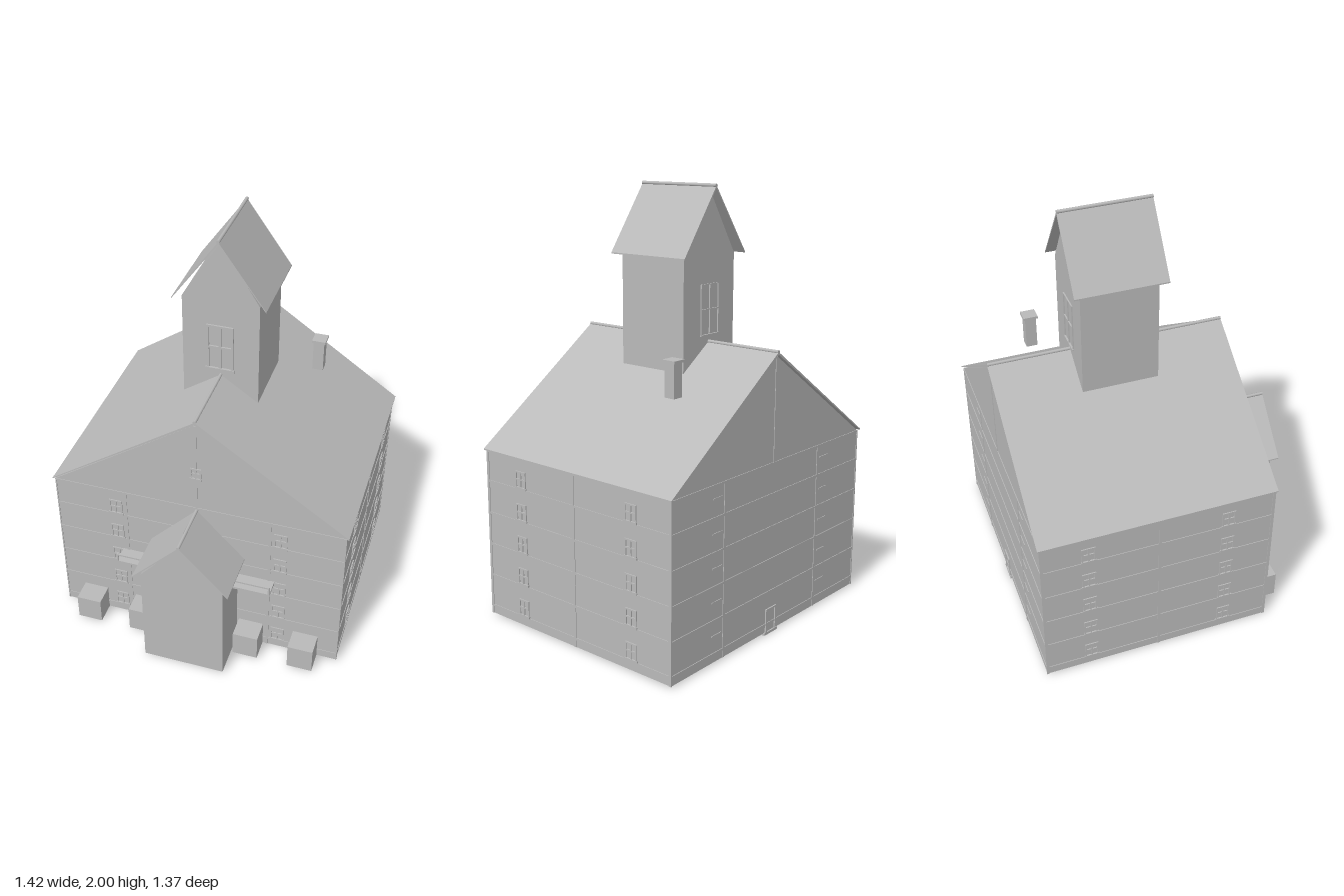
import * as THREE from 'three';

const stone = new THREE.MeshStandardMaterial({ color: 0xbababa });
stone.name = 'plain grey';

// Box given by its lower and upper limits on each axis
function box(parent, name, x0, x1, y0, y1, z0, z1) {
  const m = new THREE.Mesh(new THREE.BoxGeometry(x1 - x0, y1 - y0, z1 - z0), stone);
  m.name = name;
  m.position.set((x0 + x1) / 2, (y0 + y1) / 2, (z0 + z1) / 2);
  parent.add(m);
  return m;
}

// Outline in x and y, extruded from z0 to z1
function prism(parent, name, points, z0, z1) {
  const shape = new THREE.Shape(points.map(([x, y]) => new THREE.Vector2(x, y)));
  const m = new THREE.Mesh(new THREE.ExtrudeGeometry(shape, { depth: z1 - z0, bevelEnabled: false }), stone);
  m.name = name;
  m.position.z = z0;
  parent.add(m);
}

// Walls with a gable, a thin pitched roof and a round ridge cap
function gabledBlock(name, w, y0, eave, peak, z0, z1, roof) {
  const g = new THREE.Group();
  g.name = name;
  prism(g, name + 'Walls', [[-w, y0], [w, y0], [w, eave], [0, peak], [-w, eave]], z0, z1);
  const { half, low, top, thick, back, front } = roof;
  prism(g, name + 'Roof', [[-half, low], [0, top - thick], [half, low], [half, low + 0.006], [0, top], [-half, low + 0.006]], back, front);
  const ridge = new THREE.Mesh(new THREE.CylinderGeometry(0.008, 0.008, front - back, 8), stone);
  ridge.name = name + 'Ridge';
  ridge.rotation.x = Math.PI / 2;
  ridge.position.set(0, top, (front + back) / 2);
  g.add(ridge);
  return g;
}

// Framed window with glazing bars, facing +z, sill at the origin
function makeWindow(w, h, bar, depth) {
  const g = new THREE.Group();
  g.name = 'window';
  for (const x of [-w / 2, -bar / 2, w / 2 - bar]) box(g, 'upright', x, x + bar, 0, h, 0, depth);
  for (const y of [h * 0.5 - bar / 2, h - bar]) box(g, 'crossBar', -w / 2, w / 2, y, y + bar, 0, depth);
  box(g, 'sill', -w / 2 - bar / 2, w / 2 + bar / 2, -bar, bar * 0.4, 0, depth * 1.4);
  return g;
}

function addWindow(parent, x, y, z, turn, w = 0.064, h = 0.076, bar = 0.007, depth = 0.005) {
  const win = makeWindow(w, h, bar, depth);
  win.position.set(x, y, z);
  win.rotation.y = turn;
  parent.add(win);
}

export function createModel() {
  const model = new THREE.Group();
  model.name = 'gabledBuilding';
  const W = 0.697, F = 0.422, B = -0.677, MID = (F + B) / 2;

  // Main block, tower and porch
  model.add(gabledBlock('mainBlock', W, 0.01, 0.81, 1.285, B, F,
    { half: 0.71, low: 0.81, top: 1.302, thick: 0.012, back: -0.688, front: 0.43 }));
  model.add(gabledBlock('tower', 0.178, 1.18, 1.688, 1.972, -0.305, 0.053,
    { half: 0.215, low: 1.685, top: 1.992, thick: 0.012, back: -0.34, front: 0.087 }));
  model.add(gabledBlock('porch', 0.197, 0.01, 0.548, 0.78, F - 0.01, 0.658,
    { half: 0.23, low: 0.545, top: 0.793, thick: 0.012, back: F - 0.01, front: 0.685 }));

  // Floor bands, corner strips and pilasters
  const trim = new THREE.Group();
  trim.name = 'wallTrim';
  model.add(trim);
  const t = 0.003;
  for (const y of [0.045, 0.198, 0.352, 0.505, 0.658, 0.8])
    box(trim, 'floorBand', -W - t, W + t, y, y + 0.01, B - t, F + t);
  for (const s of [-1, 1]) {
    for (const z of [B, MID, F]) {
      const c = Math.min(Math.max(z, B + 0.004), F - 0.004);
      box(trim, 'sideStrip', s * W - t, s * W + t, 0.01, 0.805, c - 0.007, c + 0.007);
    }
    for (const z of [B, F])
      box(trim, 'pilaster', s * 0.35 - 0.006, s * 0.35 + 0.006, 0.01, 0.81, z - t, z + t);
  }
  for (const z of [B, F]) {
    box(trim, 'gableStripLower', -0.005, 0.005, 0.81, 0.975, z - t, z + t);
    box(trim, 'gableStripUpper', -0.005, 0.005, 1.04, 1.28, z - t, z + t);
  }
  box(trim, 'gableStripBack', -0.005, 0.005, 0.975, 1.04, B - t, B + t);

  // Rows of windows on the front and the sides
  for (let i = 0; i < 5; i++) {
    const y = 0.06 + i * 0.1535;
    for (const s of [-1, 1]) {
      addWindow(model, s * 0.4, y, F, 0);
      for (const z of [0.2, -0.46]) addWindow(model, s * W, y, z, s * Math.PI / 2);
      // Shallow lintels on the back
      box(trim, 'backLintel', s * 0.4 - 0.033, s * 0.4 + 0.033, y + 0.07, y + 0.076, B - t, B);
    }
  }
  addWindow(model, 0, 0.983, F, 0, 0.05, 0.058);

  // Tower windows
  addWindow(model, -0.002, 1.335, 0.053, 0, 0.125, 0.228, 0.011, 0.008);
  addWindow(model, -0.002, 1.335, -0.305, Math.PI, 0.125, 0.228, 0.004, 0.006);

  // Back door frame and step
  for (const s of [-1, 1]) box(trim, 'backDoorPost', s * 0.035 - 0.004, s * 0.035 + 0.004, 0.01, 0.115, B - 0.006, B);
  box(trim, 'backDoorHead', -0.039, 0.039, 0.115, 0.123, B - 0.006, B);
  box(trim, 'backStep', -0.05, 0.05, 0, 0.012, B - 0.006, B + 0.01);

  // Ground boxes and balconies beside the porch
  for (const s of [-1, 1]) {
    for (const c of [0.268, 0.54])
      box(model, 'groundBox', s * c - 0.061, s * c + 0.061, 0.01, 0.14, F - 0.01, 0.527);
    const balcony = new THREE.Group();
    balcony.name = 'balcony';
    const span = (a, b) => (s > 0 ? [a, b] : [-b, -a]);
    box(balcony, 'floor', ...span(0.19, 0.377), 0.435, 0.446, F - 0.01, 0.51);
    box(balcony, 'frontRail', ...span(0.19, 0.377), 0.479, 0.487, 0.502, 0.51);
    box(balcony, 'post', ...span(0.369, 0.377), 0.44, 0.487, 0.502, 0.51);
    model.add(balcony);
  }

  // Chimney
  box(model, 'chimneyStack', 0.331, 0.383, 1.122, 1.277, -0.425, -0.372);
  box(model, 'chimneyCap', 0.324, 0.39, 1.275, 1.287, -0.433, -0.364);

  return model;
}
